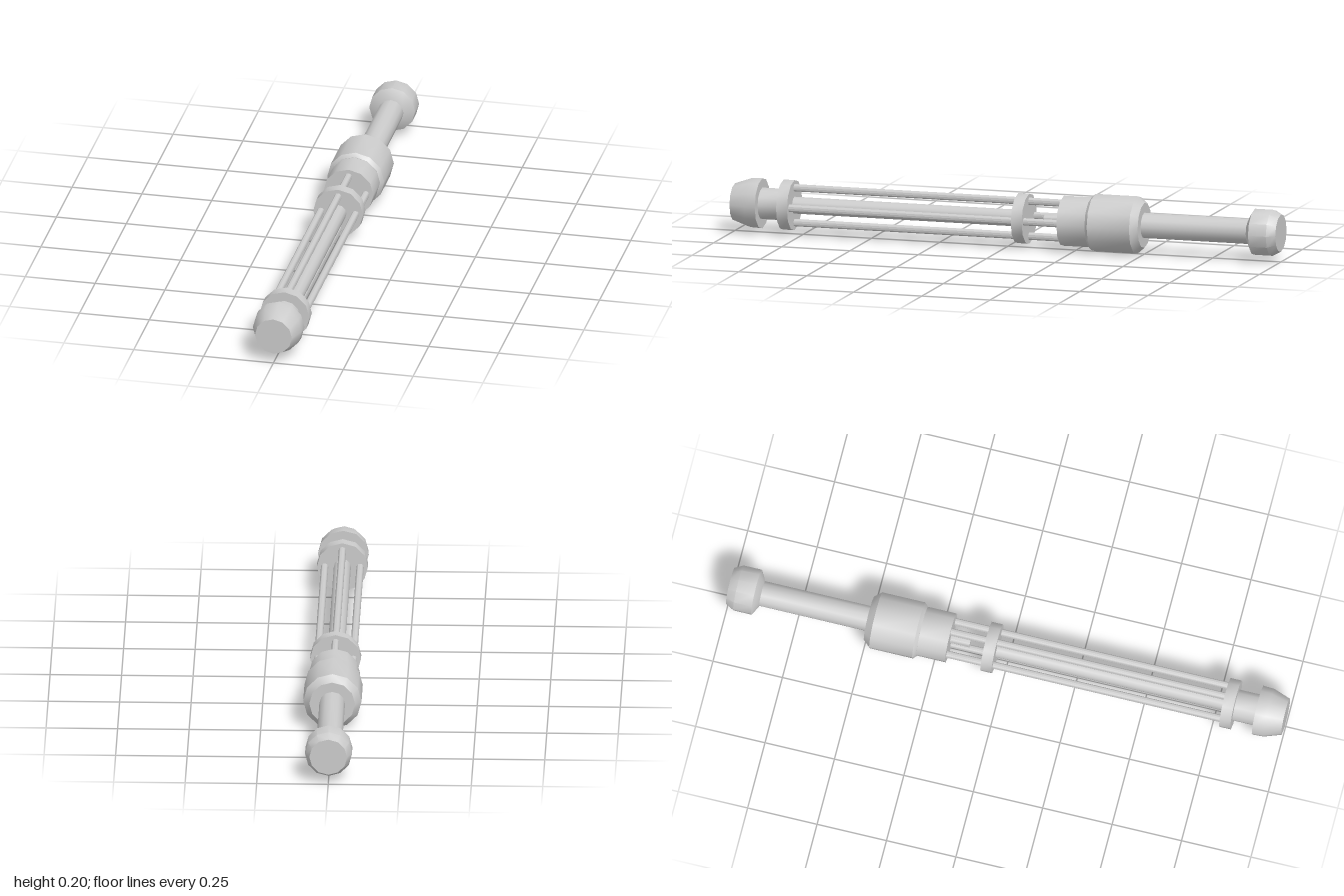
import * as THREE from 'three';
import { toCreasedNormals } from 'three/addons/utils/BufferGeometryUtils.js';

const AXIS_Y = 0.102;
const SIDES = 12;

export function createModel() {
  const group = new THREE.Group();
  const material = new THREE.MeshStandardMaterial({ color: 0xcccccc });

  // Turned part lying along z; profile is a list of [z, radius], back to front
  function turned(name, profile, x = 0, y = 0) {
    const points = [[profile[0][0], 0], ...profile, [profile[profile.length - 1][0], 0]]
      .map(([z, r]) => new THREE.Vector2(r, z));
    const lathe = new THREE.LatheGeometry(points, SIDES).rotateX(Math.PI / 2);
    const mesh = new THREE.Mesh(toCreasedNormals(lathe, 0.6), material);
    mesh.name = name;
    mesh.position.set(x, AXIS_Y + y, 0);
    group.add(mesh);
  }
  const rod = (name, z0, z1, r, x, y) => turned(name, [[z0, r], [z1, r]], x, y);

  // Plunger at the back
  turned('plungerKnob', [[-1, 0.066], [-0.97, 0.082], [-0.905, 0.082], [-0.885, 0.045]]);
  rod('plungerShaft', -0.89, -0.48, 0.045);

  // Main housing with its narrower collar
  turned('housing', [[-0.5, 0.08], [-0.475, 0.102], [-0.32, 0.102], [-0.308, 0.09]]);
  rod('collar', -0.32, -0.205, 0.089);
  rod('needle', -0.21, -0.135, 0.018);

  // Cage: two discs, a central barrel and four guide rods
  rod('rearDisc', -0.078, -0.038, 0.089);
  rod('frontDisc', 0.782, 0.822, 0.089);
  rod('barrel', -0.05, 0.79, 0.03);
  for (let i = 0; i < 4; i++) {
    const a = i * Math.PI / 2;
    rod('guideRod', -0.21, 0.79, 0.013, 0.062 * Math.cos(a), 0.062 * Math.sin(a));
  }

  // Neck and tapered cap at the front
  rod('neck', 0.815, 0.91, 0.056);
  turned('frontCap', [[0.9, 0.089], [0.94, 0.087], [1, 0.066]]);

  return group;
}
